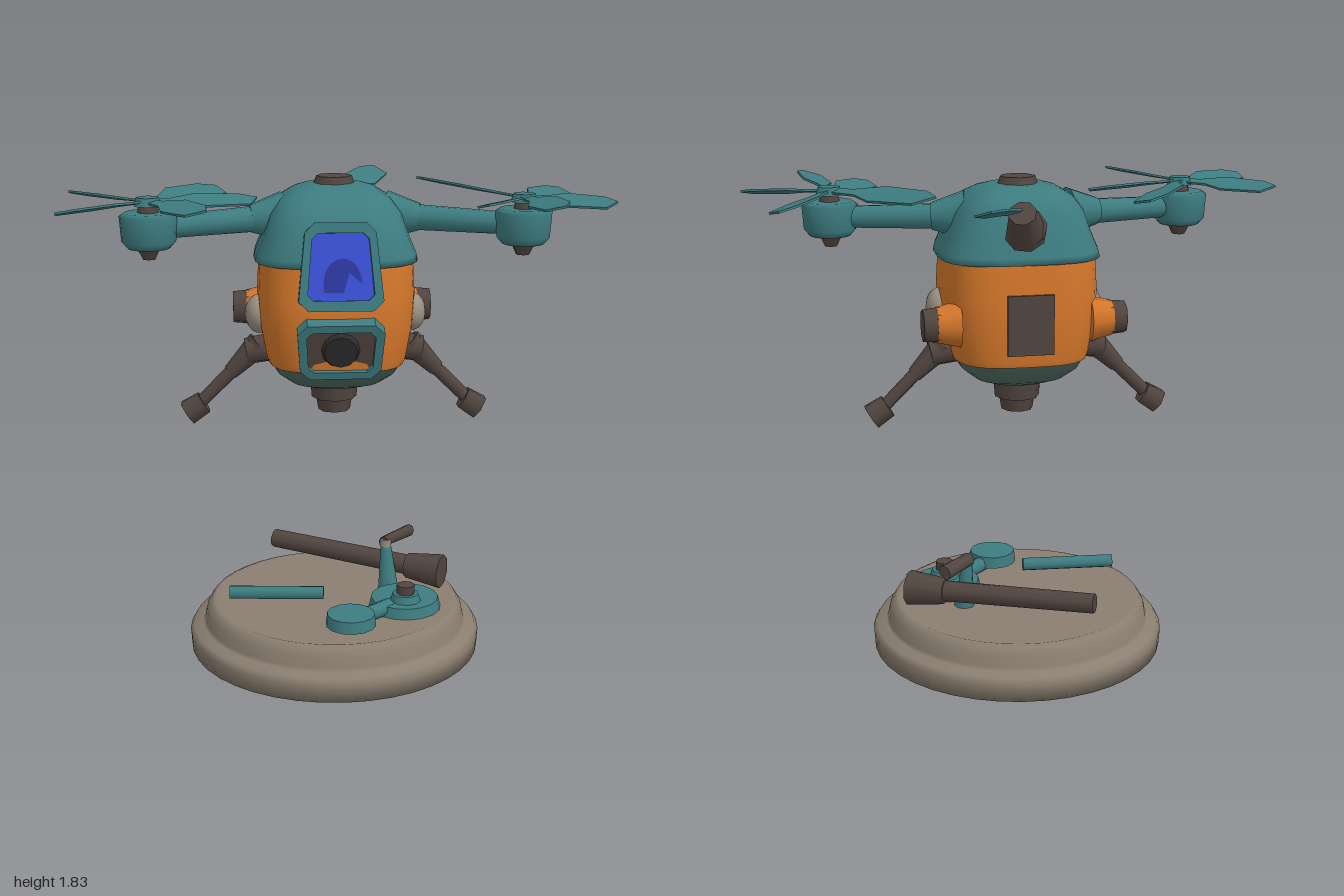
import * as THREE from 'three';

const mat = (name, color, extra = {}) => Object.assign(new THREE.MeshStandardMaterial({ color, ...extra }), { name });

export function createModel() {
  const teal = mat('teal', 0x3d7c80);
  const orange = mat('orange', 0xd3762a);
  const dark = mat('dark brown', 0x51453f);
  const stone = mat('stone', 0x8a7e70);
  const grey = mat('light grey', 0x9a9084);
  const belly = mat('grey green', 0x4f6a60);
  const blue = mat('screen blue', 0x3b50d8);
  const navy = mat('screen shade', 0x2a38a0);
  const black = mat('lens black', 0x2c2c2c);

  const model = new THREE.Group();
  const V = (x, y, z) => new THREE.Vector3(x, y, z);

  function add(name, geo, material, pos = [0, 0, 0], parent = model) {
    const m = new THREE.Mesh(geo, material);
    m.name = name;
    m.position.set(...pos);
    parent.add(m);
    return m;
  }

  // Faceted or round rod between two points, r1 at a and r2 at b
  function rod(name, a, b, r1, r2, material, sides = 10, parent = model) {
    const d = b.clone().sub(a);
    const g = new THREE.CylinderGeometry(r2, r1, d.length(), sides);
    const m = add(name, g, material, a.clone().add(b).multiplyScalar(0.5).toArray(), parent);
    m.quaternion.setFromUnitVectors(V(0, 1, 0), d.normalize());
    return m;
  }

  // Rounded-square shell from rows of [y, half width, back z, front z]
  function shell(name, rows, material) {
    const n = 32, pos = [], idx = [];
    const pw = (c) => Math.sign(c) * Math.pow(Math.abs(c), 0.62);
    for (const [y, w, zb, zf] of rows) {
      for (let i = 0; i < n; i++) {
        const a = (i / n) * Math.PI * 2;
        pos.push(w * pw(Math.cos(a)), y, (zb + zf) / 2 + ((zf - zb) / 2) * pw(Math.sin(a)));
      }
    }
    for (let r = 0; r < rows.length - 1; r++) {
      for (let i = 0; i < n; i++) {
        const a = r * n + i, b = r * n + (i + 1) % n;
        idx.push(a, a + n, b, b, a + n, b + n);
      }
    }
    const g = new THREE.BufferGeometry();
    g.setAttribute('position', new THREE.Float32BufferAttribute(pos, 3));
    g.setIndex(idx);
    g.computeVertexNormals();
    add(name, g, material);
  }

  // Body: belly, middle band and hood
  shell('belly', [[1.06, 0, 0.02, 0.02], [1.065, 0.1, -0.1, 0.14], [1.09, 0.17, -0.16, 0.21],
    [1.13, 0.22, -0.21, 0.27], [1.185, 0.25, -0.24, 0.31]], belly);
  shell('bodyBand', [[1.17, 0.25, -0.24, 0.31], [1.19, 0.258, -0.246, 0.315], [1.3, 0.278, -0.257, 0.33],
    [1.42, 0.287, -0.257, 0.325], [1.56, 0.28, -0.24, 0.3]], orange);
  shell('hood', [[1.545, 0.27, -0.23, 0.29], [1.545, 0.298, -0.25, 0.31], [1.57, 0.292, -0.245, 0.31],
    [1.64, 0.262, -0.225, 0.29], [1.71, 0.238, -0.205, 0.26], [1.76, 0.2, -0.18, 0.21],
    [1.79, 0.15, -0.14, 0.14], [1.805, 0.1, -0.1, 0.09], [1.81, 0, 0, 0]], teal);
  add('topCap', new THREE.CylinderGeometry(0.065, 0.08, 0.04, 8), dark, [0, 1.812, -0.01]);
  add('backPanel', new THREE.BoxGeometry(0.17, 0.22, 0.016), dark, [0, 1.33, -0.256]);

  // Tapered rectangle with cut corners
  function panelShape(wBottom, wTop, h, c, Type = THREE.Shape) {
    const b = wBottom / 2, t = wTop / 2, y = h / 2;
    return new Type([[-b + c, -y], [b - c, -y], [b, -y + c], [t, y - c], [t - c, y], [-t + c, y], [-t, y - c], [-b, -y + c]]
      .map(([px, py]) => new THREE.Vector2(px, py)));
  }

  // Framed opening with a recessed plate
  function framed(name, pos, tilt, outer, inner, depth, plate) {
    const g = new THREE.Group();
    g.name = name;
    g.position.set(...pos);
    g.rotation.x = tilt;
    const s = panelShape(...outer, 0.035);
    s.holes.push(panelShape(...inner, 0.02, THREE.Path));
    const geo = new THREE.ExtrudeGeometry(s, { depth, bevelEnabled: false });
    add(name + 'Frame', geo.translate(0, 0, -depth), teal, [0, 0, 0], g);
    add(name + 'Plate', new THREE.ShapeGeometry(panelShape(...inner, 0.01)), plate, [0, 0, -0.02], g);
    model.add(g);
    return g;
  }
  const windowGroup = framed('window', [0, 1.56, 0.342], -0.19, [0.3, 0.25, 0.31], [0.235, 0.2, 0.235], 0.13, blue);
  const shade = new THREE.Shape();
  shade.moveTo(-0.06, -0.09);
  shade.quadraticCurveTo(-0.07, 0.02, 0.01, 0.03);
  shade.quadraticCurveTo(0.07, 0.02, 0.075, -0.06);
  shade.lineTo(0.03, -0.02);
  shade.lineTo(0.01, -0.09);
  add('windowShade', new THREE.ShapeGeometry(shade), navy, [0, 0, -0.016], windowGroup);
  const sensor = framed('sensor', [0, 1.253, 0.348], 0.27, [0.29, 0.31, 0.215], [0.23, 0.245, 0.16], 0.07, dark);
  add('lens', new THREE.CylinderGeometry(0.06, 0.07, 0.02, 12).rotateX(Math.PI / 2), black, [0, 0, -0.012], sensor);

  // Underside turret
  add('turretCollar', new THREE.CylinderGeometry(0.09, 0.085, 0.06, 8), dark, [0, 1.03, 0]);
  add('turretTip', new THREE.CylinderGeometry(0.07, 0.06, 0.06, 8), dark, [0, 0.98, 0]);

  // Flat rotor blade along +x, unit-free length
  function blade(len, width) {
    const s = new THREE.Shape([[0, -0.14], [0.3, -0.2], [0.5, -0.5], [0.9, -0.45], [1, 0.1], [0.85, 0.4], [0.45, 0.5], [0.2, 0.15], [0, 0.14]]
      .map(([x, y]) => new THREE.Vector2(x * len, y * width)));
    const g = new THREE.ExtrudeGeometry(s, { depth: 0.008, bevelEnabled: false });
    return g.translate(0, 0, -0.004).rotateX(-Math.PI / 2 + 0.25);
  }
  function placeBlade(name, from, to, width) {
    const d = to.clone().sub(from);
    const m = add(name, blade(d.length(), width), teal, from.toArray());
    m.rotation.order = 'YZX';
    m.rotation.y = Math.atan2(-d.z, d.x);
    m.rotation.z = Math.atan2(d.y, Math.hypot(d.x, d.z));
  }

  // Both sides: knobs, legs, arms and rotor pods
  for (const s of [-1, 1]) {
    const side = s > 0 ? 'left' : 'right';
    const P = (x, y, z) => V(s * x, y, z);
    rod(side + 'KnobMount', P(0.24, 1.32, -0.14), P(0.325, 1.32, -0.14), 0.085, 0.065, orange);
    rod(side + 'Knob', P(0.31, 1.32, -0.14), P(0.375, 1.32, -0.14), 0.066, 0.06, dark, 8);
    const lamp = add(side + 'Lamp', new THREE.SphereGeometry(0.072, 14, 10), grey, [s * 0.28, 1.34, 0.07]);
    lamp.scale.x = 0.75;

    rod(side + 'Hip', P(0.22, 1.2, 0), P(0.33, 1.18, 0), 0.055, 0.05, dark, 8);
    rod(side + 'Thigh', P(0.28, 1.21, 0), P(0.39, 1.1, 0), 0.05, 0.03, dark, 8);
    rod(side + 'Shin', P(0.36, 1.13, 0), P(0.52, 0.97, 0), 0.026, 0.024, dark, 8);
    rod(side + 'Foot', P(0.492, 0.985, 0), P(0.555, 0.945, 0), 0.045, 0.05, dark, 6);

    rod(side + 'Shoulder', P(0.19, 1.69, 0.02), P(0.31, 1.685, 0.045), 0.09, 0.05, teal, 12);
    rod(side + 'Arm', P(0.28, 1.685, 0.04), P(0.62, 1.675, 0.15), 0.047, 0.04, teal, 12);
    const pod = [V(0, -0.065, 0), V(0.075, -0.065, 0), V(0.097, -0.04, 0), V(0.103, 0.05, 0), V(0.085, 0.062, 0), V(0, 0.062, 0)];
    add(side + 'Pod', new THREE.LatheGeometry(pod, 16), teal, [s * 0.67, 1.67, 0.17]);
    add(side + 'PodFin', new THREE.CylinderGeometry(0.05, 0.025, 0.05, 6), dark, [s * 0.67, 1.59, 0.17]);
    add(side + 'Axle', new THREE.CylinderGeometry(0.03, 0.04, 0.05, 8), dark, [s * 0.67, 1.745, 0.17]);
    add(side + 'RotorHub', new THREE.CylinderGeometry(0.04, 0.05, 0.03, 8), teal, [s * 0.67, 1.77, 0.17]);
  }

  // Rotor blades, by tip position
  const tips = {
    right: [[-0.96, 1.77, -0.08], [-0.98, 1.76, 0.37], [-0.47, 1.78, 0.5], [-0.42, 1.76, -0.25], [-0.28, 1.76, 0.07]],
    left: [[0.88, 1.75, -0.18], [0.985, 1.76, 0.27], [0.73, 1.79, 0.55], [0.5, 1.77, 0.36], [0.34, 1.79, -0.23]],
  };
  for (const [side, list] of Object.entries(tips)) {
    const hub = V(side === 'left' ? 0.67 : -0.67, 1.77, 0.17);
    for (const t of list) placeBlade(side + 'Blade', hub, V(...t), t[2] < -0.2 ? 0.14 : 0.115);
  }

  // Tail rotor stub with a single blade
  rod('tailStem', V(0, 1.64, -0.19), V(0.02, 1.69, -0.29), 0.06, 0.07, dark, 8);
  rod('tailHead', V(0.02, 1.66, -0.26), V(0.05, 1.75, -0.35), 0.075, 0.05, dark, 8);
  placeBlade('tailBlade', V(0.05, 1.735, -0.26), V(0.21, 1.79, -0.56), 0.13);

  // Pedestal
  const profile = [[0, 0], [0.562, 0], [0.566, 0.065], [0.552, 0.088], [0.515, 0.097], [0.508, 0.11],
    [0.5, 0.15], [0.482, 0.178], [0.465, 0.185], [0.45, 0.18], [0, 0.18]];
  add('pedestal', new THREE.LatheGeometry(profile.map(([x, y]) => new THREE.Vector2(x, y)), 40), stone);

  // Broken parts lying on the pedestal
  add('largeDisc', new THREE.CylinderGeometry(0.13, 0.14, 0.04, 16), teal, [0.265, 0.2, 0.115]);
  add('discNeck', new THREE.CylinderGeometry(0.05, 0.06, 0.03, 10), teal, [0.265, 0.233, 0.15]);
  add('discKnob', new THREE.CylinderGeometry(0.035, 0.035, 0.04, 8), dark, [0.265, 0.262, 0.15]);
  add('smallDisc', new THREE.CylinderGeometry(0.09, 0.095, 0.045, 14), teal, [0.04, 0.222, 0.32]);
  rod('discLink', V(0.08, 0.21, 0.28), V(0.2, 0.205, 0.17), 0.03, 0.03, teal, 8);
  rod('looseBar', V(-0.41, 0.25, 0.1), V(-0.05, 0.25, 0.13), 0.026, 0.026, teal, 8);
  rod('brokenStrut', V(-0.22, 0.285, -0.38), V(0.36, 0.26, -0.07), 0.037, 0.04, dark, 8);
  rod('strutEnd', V(0.3, 0.26, -0.1), V(0.43, 0.258, -0.03), 0.05, 0.068, dark, 8);
  rod('brokenPost', V(0.22, 0.18, -0.06), V(0.21, 0.38, -0.08), 0.04, 0.018, teal, 8);
  add('postTip', new THREE.CylinderGeometry(0.022, 0.022, 0.03, 8), grey, [0.21, 0.37, -0.075]);
  const bar = rod('postHandle', V(0.2, 0.375, -0.07), V(0.315, 0.375, -0.19), 0.025, 0.03, dark, 8);
  bar.scale.x = 0.8;

  return model;
}
